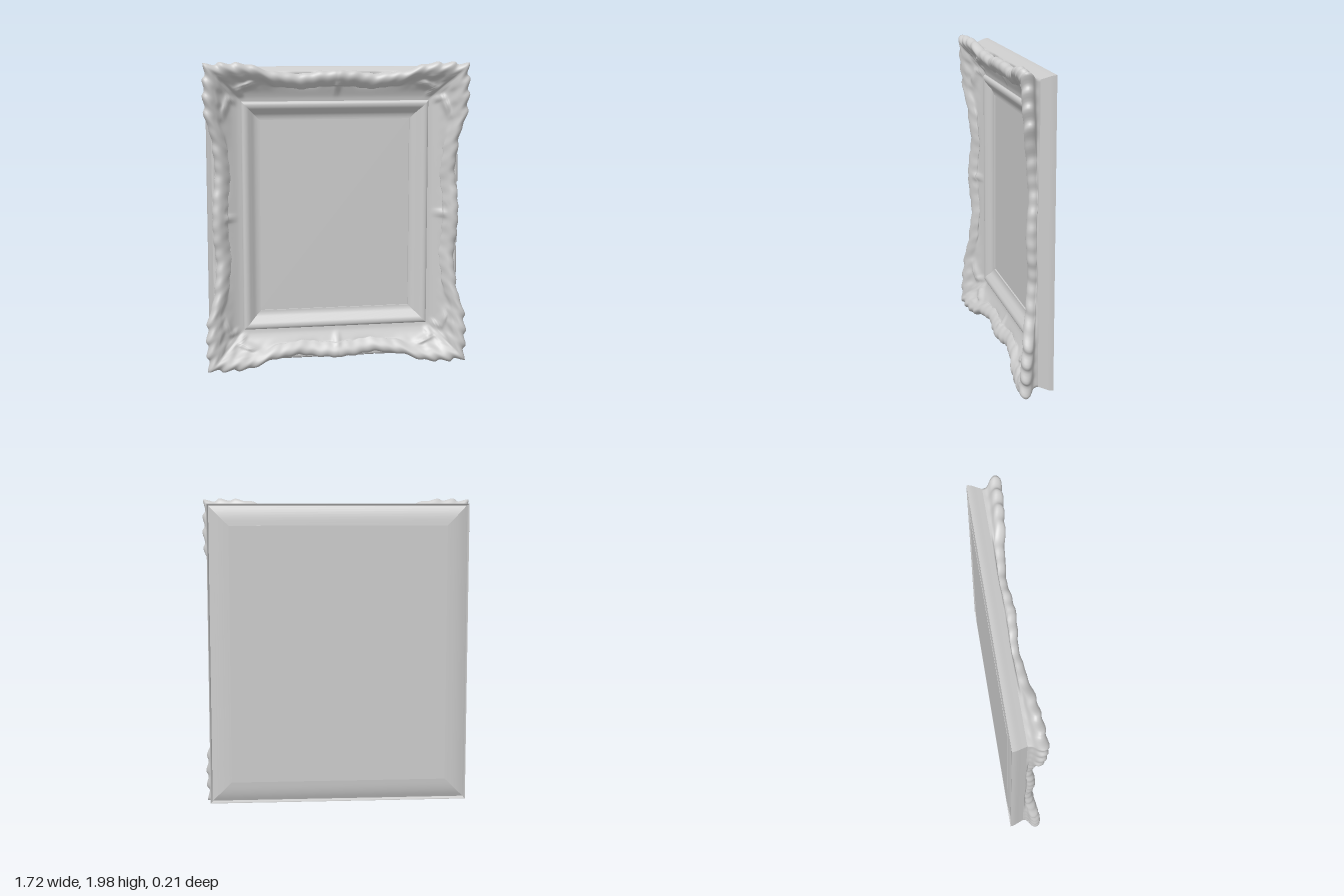
import * as THREE from 'three';
import { mergeVertices } from 'three/addons/utils/BufferGeometryUtils.js';

const CY = 1.005;                 // height of the frame's centre
const HALF_X = 0.49, HALF_Y = 0.62; // half size of the opening

const smooth = (a, b, v) => THREE.MathUtils.smoothstep(v, a, b);

// Eased interpolation through [t, value] pairs
function ease(table, t) {
  for (let i = 1; i < table.length; i++) {
    const [t0, v0] = table[i - 1], [t1, v1] = table[i];
    if (t <= t1) return v0 + (v1 - v0) * smooth(t0, t1, t);
  }
  return table[table.length - 1][1];
}

// Scalloped outline and crest of the rim, from mid side (0) to corner (1)
const RIM_OUT = [[0, -0.045], [0.1, -0.048], [0.33, -0.068], [0.52, -0.05], [0.7, 0], [0.82, 0.004], [1, -0.004]];
const RIM_TOP = [[0, 0.05], [0.08, 0.045], [0.28, 0.03], [0.5, 0.047], [0.68, 0.075], [0.85, 0.09], [1, 0.094]];

// Carved leaves: [distance from side edge, distance from end edge, angle, length, width, height]
const CORNER_LEAVES = [
  [0.07, 0.07, 0.8, 0.07, 0.03, 0.016],
  [0.16, 0.15, 0.8, 0.06, 0.025, 0.022],
  [0.06, 0.22, 1.4, 0.08, 0.022, 0.015],
  [0.22, 0.06, 0.15, 0.08, 0.022, 0.015],
  [0.13, 0.26, 1.9, 0.06, 0.018, 0.026],
  [0.26, 0.13, -0.35, 0.06, 0.018, 0.026],
  [0.07, 0.36, 1.3, 0.07, 0.016, 0.012],
  [0.36, 0.07, 0.25, 0.07, 0.016, 0.012],
  [0.17, 0.22, 0.4, 0.035, 0.016, 0.018],
  [0.22, 0.17, 1.2, 0.035, 0.016, 0.018],
];
// Fan of lobes at the middle of each side: [across, along, angle, length, width, height]
const MID_LEAVES = [
  [0.12, 0, 0, 0.055, 0.018, 0.022],
  [0.09, 0.045, 0.9, 0.04, 0.014, 0.018],
  [0.06, 0.07, 1.4, 0.05, 0.014, 0.01],
];

function leaf([cx, cy, angle, length, width, height], x, y) {
  const dx = x - cx, dy = y - cy;
  const u = (dx * Math.cos(angle) + dy * Math.sin(angle)) / length;
  const v = (dy * Math.cos(angle) - dx * Math.sin(angle)) / width;
  const d = u * u + v * v;
  if (d > 6) return 0;
  // a shallow vein down the middle
  return height * (Math.exp(-d) - 0.35 * Math.exp(-u * u - v * v * 9));
}

// Relief height at a point of the border
function relief(x, y) {
  const p = 0.84 - Math.abs(x), q = 0.97 - Math.abs(y);
  let h = 0;
  for (const l of CORNER_LEAVES) h += leaf(l, p, q);
  for (const l of MID_LEAVES) h += leaf(l, p, Math.abs(y)) + leaf(l, q, Math.abs(x));
  return h;
}

// Moves a section point [w outward, z] by the carving rule
function carve(w, z, t, halfAlong, out) {
  const a = Math.abs(t);
  const rim = smooth(-0.02, 0.06, z) * smooth(0.15, 0.27, w);
  const corner = smooth(0.5, 0.8, a);
  const ripple = (0.003 + 0.005 * corner) * Math.sin((1 - a) * halfAlong * 62 + 1.2);
  out.w = w + rim * (ease(RIM_OUT, a) + ripple);
  out.z = z + smooth(-0.03, 0.07, z) * (ease(RIM_TOP, a) - 0.1 + ripple * 0.5);
}

// Sweeps a section around the four sides with mitred corners
function sweep(points, { steps = 1, rows = 0, carved = false }) {
  const line = points.map(([w, z]) => new THREE.Vector2(w, z));
  const section = rows ? new THREE.SplineCurve(line).getSpacedPoints(rows) : line;
  const pos = [], index = [], m = section.length, s = { w: 0, z: 0 };
  for (let side = 0; side < 4; side++) {
    const nx = [1, 0, -1, 0][side], ny = [0, 1, 0, -1][side];
    const halfOut = nx ? HALF_X : HALF_Y, halfAlong = nx ? HALF_Y : HALF_X;
    const base = pos.length / 3;
    for (let i = 0; i <= steps; i++) {
      const t = (2 * i) / steps - 1;
      section.forEach((pt, j) => {
        s.w = pt.x; s.z = pt.y;
        if (carved) carve(pt.x, pt.y, t, halfAlong + 0.35, s);
        const out = halfOut + s.w, along = t * (halfAlong + s.w);
        const x = nx * out - ny * along, y = ny * out + nx * along;
        const front = smooth(0.45, 0.6, j / (m - 1)) * smooth(0.12, 0.17, s.w);
        pos.push(x, y + CY, s.z + (carved ? front * relief(x, y) : 0));
        if (i < steps && j < m - 1) {
          const a = base + i * m + j, b = a + m;
          index.push(a, b, b + 1, a, b + 1, a + 1);
        }
      });
    }
  }
  let geo = new THREE.BufferGeometry();
  geo.setAttribute('position', new THREE.Float32BufferAttribute(pos, 3));
  geo.setIndex(index);
  if (carved) geo = mergeVertices(geo, 1e-5); // soft mitres under the carving
  geo.computeVertexNormals();
  return geo;
}

export function createModel() {
  const group = new THREE.Group();
  const plaster = new THREE.MeshStandardMaterial({ color: 0xcccccc });
  plaster.name = 'plaster grey';

  const add = (name, geo, x = 0, y = 0, z = 0) => {
    const mesh = new THREE.Mesh(geo, plaster);
    mesh.name = name;
    mesh.position.set(x, y, z);
    group.add(mesh);
  };

  // Sloping band around the back panel, with a thin lip at the edge
  add('backBand', sweep([[0.2, -0.112], [0.25, -0.107], [0.29, -0.098], [0.325, -0.084]], { rows: 8 }));
  add('backLip', sweep([[0.325, -0.084], [0.329, -0.11], [0.337, -0.11]], {}));

  // Hollow outer wall
  add('outerWall', sweep([[0.337, -0.11], [0.334, -0.085], [0.322, -0.05], [0.312, -0.02]], { rows: 8 }));

  // Carved rim and cove
  add('carvedBorder', sweep([
    [0.312, -0.02], [0.318, 0.01], [0.348, 0.04], [0.358, 0.068], [0.345, 0.094], [0.315, 0.1],
    [0.28, 0.078], [0.24, 0.03], [0.19, -0.015], [0.15, -0.035], [0.118, -0.042],
  ], { steps: 130, rows: 54, carved: true }));

  // Raised bead and slope down to the picture
  add('innerBead', sweep([
    [0.118, -0.042], [0.114, -0.03], [0.1, -0.023], [0.08, -0.026], [0.06, -0.04],
    [0.035, -0.06], [0.015, -0.068], [0, -0.07],
  ], { rows: 24 }));
  add('innerEdge', sweep([[0, -0.07], [0, -0.085]], {}));

  // Picture board in the opening and the closing panel behind
  add('pictureBoard', new THREE.BoxGeometry(1.0, 1.26, 0.008), 0, CY, -0.084);
  add('backPanel', new THREE.BoxGeometry(1.38, 1.64, 0.006), 0, CY, -0.111);

  return group;
}
